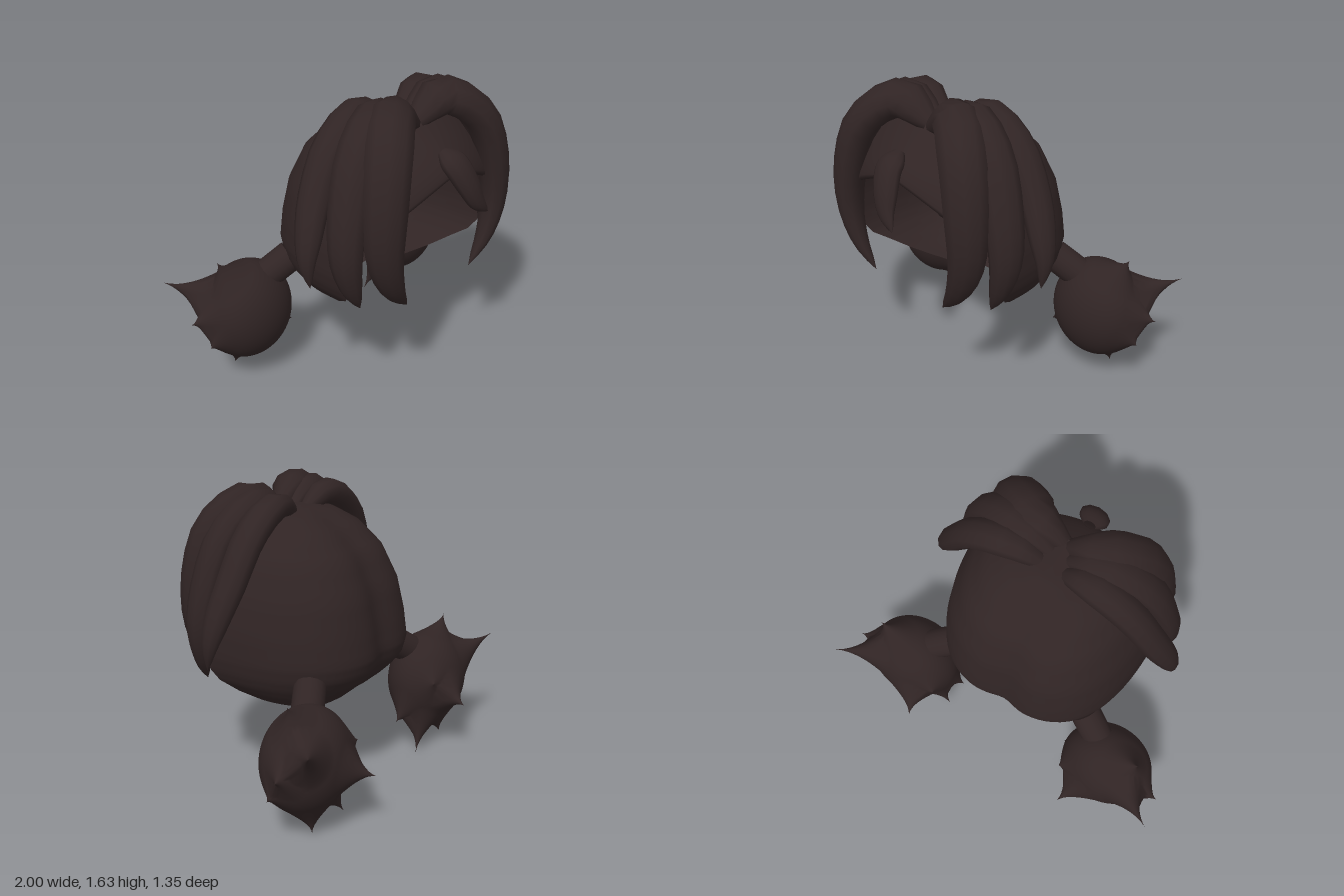
import * as THREE from 'three';
import { mergeVertices } from 'three/addons/utils/BufferGeometryUtils.js';

const V = (x, y, z) => new THREE.Vector3(x, y, z);
const hair = new THREE.MeshStandardMaterial({ color: 0x302424, side: THREE.DoubleSide });
hair.name = 'darkBrownHair';

// Smooth grid surface from a point rule; closed joins the last column to the first
function grid(nu, nv, fn, closed = false) {
  const pos = [], idx = [], cols = closed ? nv : nv + 1;
  for (let i = 0; i <= nu; i++)
    for (let j = 0; j < cols; j++) pos.push(...fn(i / nu, j / nv).toArray());
  for (let i = 0; i < nu; i++)
    for (let j = 0; j < nv; j++) {
      const k = (j + 1) % cols;
      const a = i * cols + j, b = i * cols + k, c = a + cols, d = b + cols;
      idx.push(a, b, c, b, d, c);
    }
  const g = new THREE.BufferGeometry();
  g.setAttribute('position', new THREE.Float32BufferAttribute(pos, 3));
  g.setIndex(idx);
  g.computeVertexNormals();
  return g;
}

// Tapered lock of hair: flattened section lying against the head
function lock(points, side, width, thick) {
  const curve = new THREE.CatmullRomCurve3(points.map(p => V(p[0] * side, p[1], p[2])));
  const full = s => s < 0.22
    ? 0.4 + 0.6 * Math.sin((s / 0.22) * Math.PI / 2)
    : Math.pow(Math.max(0, 1 - Math.pow((s - 0.22) / 0.78, 2.4)), 0.85);
  return grid(16, 10, (s, a) => {
    const p = curve.getPoint(s), t = curve.getTangent(s);
    const n = V(p.x, p.y - 1, p.z);
    n.addScaledVector(t, -n.dot(t)).normalize();
    const w = t.clone().cross(n), f = full(s), q = a * Math.PI * 2;
    return p.addScaledVector(n, Math.cos(q) * thick * f).addScaledVector(w, Math.sin(q) * width * f);
  }, true);
}

// Cap levels: height, half width, back z, front edge z
const CAP = [
  [1.505, 0.0, 0.12, 0.28], [1.50, 0.12, 0.03, 0.30], [1.47, 0.27, -0.06, 0.32],
  [1.40, 0.38, -0.18, 0.35], [1.28, 0.47, -0.30, 0.38], [1.10, 0.54, -0.385, 0.39],
  [0.92, 0.57, -0.425, 0.38], [0.78, 0.57, -0.445, 0.34], [0.70, 0.555, -0.425, 0.31],
  [0.64, 0.53, -0.38, 0.27], [0.58, 0.48, -0.32, 0.18], [0.52, 0.40, -0.25, 0.09],
  [0.485, 0.31, -0.20, 0.02], [0.46, 0.17, -0.14, -0.05],
];

// Open-fronted shell, wrapped round the back of the head
function capGeometry() {
  const last = CAP.length - 1;
  return grid(last * 3, 48, (u, v) => {
    const i = Math.min(last - 1, Math.floor(u * last + 1e-6)), f = u * last - i;
    const [y, w, zb, zf] = CAP[i].map((c, k) => c + (CAP[i + 1][k] - c) * f);
    const a = (v * 2 - 1) * Math.PI / 2, s = Math.sin(a), c = Math.cos(a);
    const r = Math.pow(Math.pow(Math.abs(s), 2.8) + Math.pow(Math.abs(c), 2.8), -1 / 2.8);
    const x = w * s * r;
    // shallow centre groove down the back
    const groove = 0.035 * Math.exp(-Math.pow(x / 0.1, 2)) * Math.sin(u * Math.PI);
    return V(x, y, zf - (zf - zb) * c * r + groove);
  });
}

// Curved fringe panel with an arched lower edge that tucks back to the head
function fringeGeometry() {
  return grid(20, 20, (u, v) => {
    const x = (v * 2 - 1) * 0.38, e = Math.abs(x) / 0.38;
    const low = 1.22 - 0.14 * Math.pow(e, 1.4);
    const z = 0.26 + 0.28 * Math.sin(u * Math.PI / 2) - 0.45 * x * x;
    const tuck = Math.max(0, (u - 0.88) / 0.12);
    return V(x, 1.48 + (low - 1.48) * Math.min(1, u / 0.94) - 0.05 * e * e * (1 - u),
      z - 0.08 * tuck * tuck);
  });
}

// Tips of the spiky tufts on one pigtail
const TIPS = [
  [1.0, 0.62, -0.61], [0.82, 0.75, -0.37], [0.50, 0.335, -0.68], [0.40, 0.01, -0.43],
  [0.99, 0.43, -0.41], [0.94, 0.29, -0.33], [0.70, 0.03, -0.43], [0.35, 0.20, -0.32],
  [0.42, 0.46, -0.52],
];

function pigtailGeometry(side) {
  let g = new THREE.IcosahedronGeometry(1, 18);
  g.deleteAttribute('uv');
  g.deleteAttribute('normal');
  g = mergeVertices(g, 1e-4);
  const centre = V(0.645 * side, 0.4, -0.358), size = V(0.265, 0.28, 0.218);
  const tips = TIPS.map(t => V(t[0] * side, t[1], t[2]));
  const dirs = tips.map(t => t.clone().sub(centre).divide(size).normalize());
  const p = g.attributes.position;
  for (let i = 0; i < p.count; i++) {
    const d = V().fromBufferAttribute(p, i);
    const q = d.clone().multiply(size).add(centre);
    let best = 0, which = 0;
    dirs.forEach((t, k) => {
      const s = THREE.MathUtils.clamp(1.06 - d.angleTo(t) / 0.52, 0, 1);
      if (s > best) { best = s; which = k; }
    });
    q.lerp(tips[which], Math.pow(best, 1.4));
    p.setXYZ(i, q.x, q.y, q.z);
  }
  g.computeVertexNormals();
  return g;
}

// Locks that fall from the centre parting: name, path, half width, half thickness
const LOCKS = [
  ['FrontLock', [[0.01, 1.46, 0.27], [0.2, 1.555, 0.3], [0.37, 1.43, 0.41], [0.45, 1.18, 0.46],
    [0.46, 0.92, 0.47], [0.39, 0.72, 0.47], [0.27, 0.575, 0.46]], 0.125, 0.095],
  ['MiddleLock', [[0.04, 1.46, 0.2], [0.23, 1.55, 0.23], [0.44, 1.42, 0.28], [0.56, 1.15, 0.32],
    [0.60, 0.93, 0.34], [0.57, 0.75, 0.35], [0.52, 0.63, 0.36]], 0.11, 0.08],
  ['RearLock', [[0.05, 1.45, 0.13], [0.23, 1.54, 0.11], [0.44, 1.43, 0.11], [0.59, 1.2, 0.13],
    [0.67, 1.03, 0.16], [0.71, 0.9, 0.18], [0.71, 0.77, 0.2]], 0.095, 0.075],
];

export function createModel() {
  const model = new THREE.Group();
  model.name = 'hairstyle';
  const add = (name, geometry) => {
    const m = new THREE.Mesh(geometry, hair);
    m.name = name;
    model.add(m);
    return m;
  };

  add('hairCap', capGeometry());
  add('fringe', fringeGeometry());
  // Curled lock in the middle of the fringe
  add('fringeCurl', lock([[-0.02, 1.36, 0.47], [-0.01, 1.3, 0.55], [0.02, 1.21, 0.6],
    [0.06, 1.11, 0.635], [0.13, 1.03, 0.66]], 1, 0.085, 0.05));

  for (const side of [1, -1]) {
    const label = side > 0 ? 'left' : 'right';
    for (const [name, path, width, thick] of LOCKS) add(label + name, lock(path, side, width, thick));

    // Tie joining the pigtail to the cap
    const a = V(0.42 * side, 0.68, -0.23), b = V(0.57 * side, 0.57, -0.31);
    const tie = add(label + 'PigtailTie', new THREE.CylinderGeometry(0.085, 0.085, a.distanceTo(b), 16));
    tie.position.copy(a).add(b).multiplyScalar(0.5);
    tie.quaternion.setFromUnitVectors(V(0, 1, 0), b.clone().sub(a).normalize());
    add(label + 'Pigtail', pigtailGeometry(side));
  }
  return model;
}
